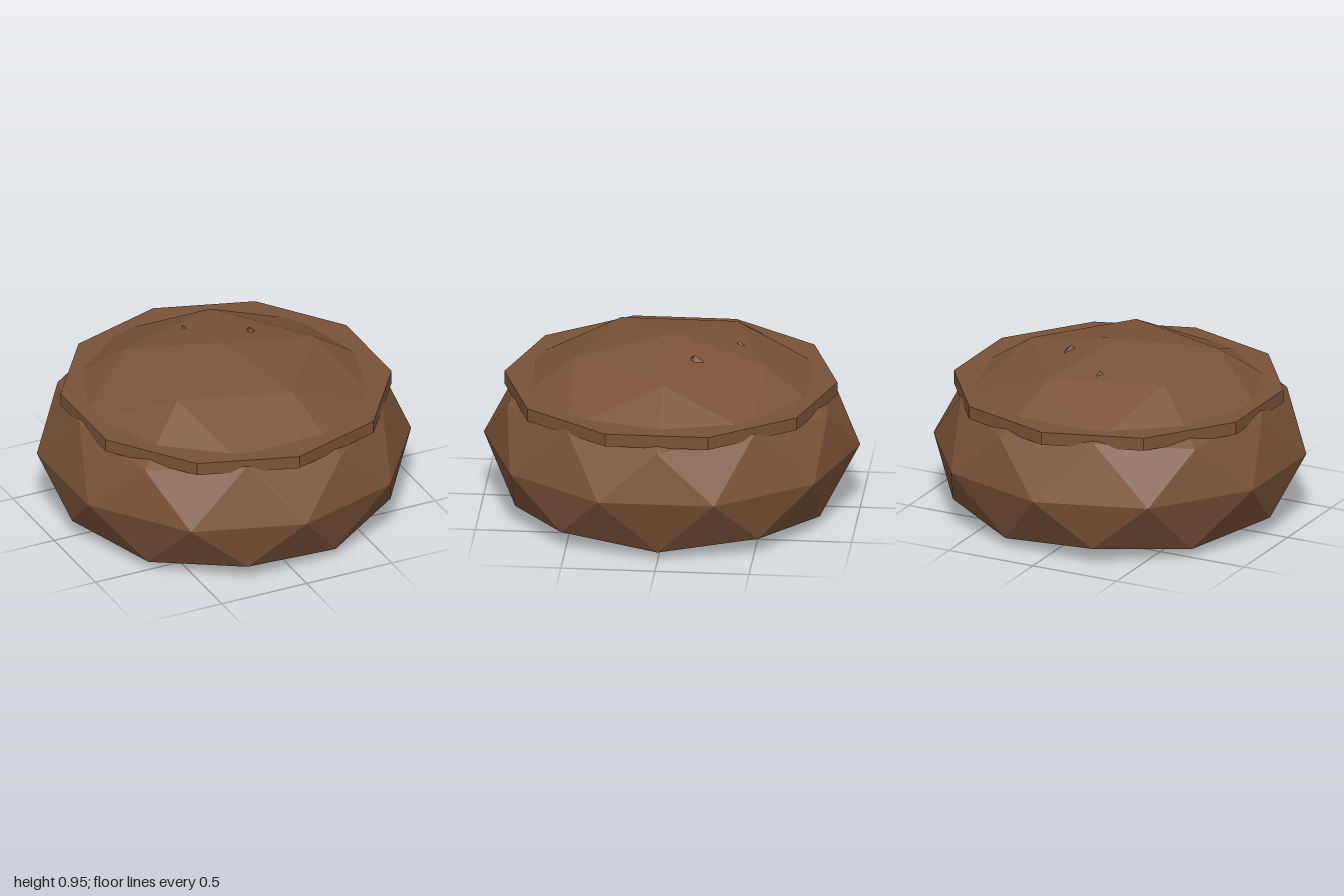
import * as THREE from 'three';

const brown = new THREE.MeshStandardMaterial({ color: 0x7a5238, flatShading: true });
brown.name = 'brown';

function addPart(group, name, geometry) {
  const mesh = new THREE.Mesh(geometry, brown);
  mesh.name = name;
  group.add(mesh);
  return mesh;
}

// Faceted ball with a vertex at the top, squashed and flattened underneath
function bodyGeometry() {
  const geo = new THREE.IcosahedronGeometry(1, 1);
  geo.rotateX(-Math.atan((1 + Math.sqrt(5)) / 2));
  geo.rotateY(Math.PI / 2);
  const p = geo.attributes.position;
  for (let i = 0; i < p.count; i++) {
    p.setY(i, Math.max(0, 0.36 + 0.595 * p.getY(i)));
  }
  geo.computeVertexNormals();
  return geo;
}

// Small irregular spike: a tip joined to a base loop of [x, z] points
function chipGeometry(tip, base, baseY) {
  const pos = [];
  base.forEach(([x, z], i) => {
    const [nx, nz] = base[(i + 1) % base.length];
    pos.push(...tip, x, baseY, z, nx, baseY, nz);
  });
  const geo = new THREE.BufferGeometry();
  geo.setAttribute('position', new THREE.Float32BufferAttribute(pos, 3));
  geo.computeVertexNormals();
  return geo;
}

export function createModel() {
  const group = new THREE.Group();
  group.name = 'squashedPot';

  addPart(group, 'body', bodyGeometry());

  // Ten-sided slab around the upper body
  const rim = addPart(group, 'rim', new THREE.CylinderGeometry(0.885, 0.885, 0.07, 10));
  rim.position.set(0.01, 0.678, 0.005);

  // Two little chips poking out of the top
  addPart(group, 'largeChip', chipGeometry([0.22, 0.925, -0.14],
    [[0.18, -0.1], [0.235, -0.1], [0.265, -0.135], [0.24, -0.21], [0.19, -0.15]], 0.88));
  addPart(group, 'smallChip', chipGeometry([-0.065, 0.895, -0.35],
    [[-0.1, -0.345], [-0.06, -0.325], [-0.045, -0.34], [-0.05, -0.405]], 0.865));

  return group;
}
